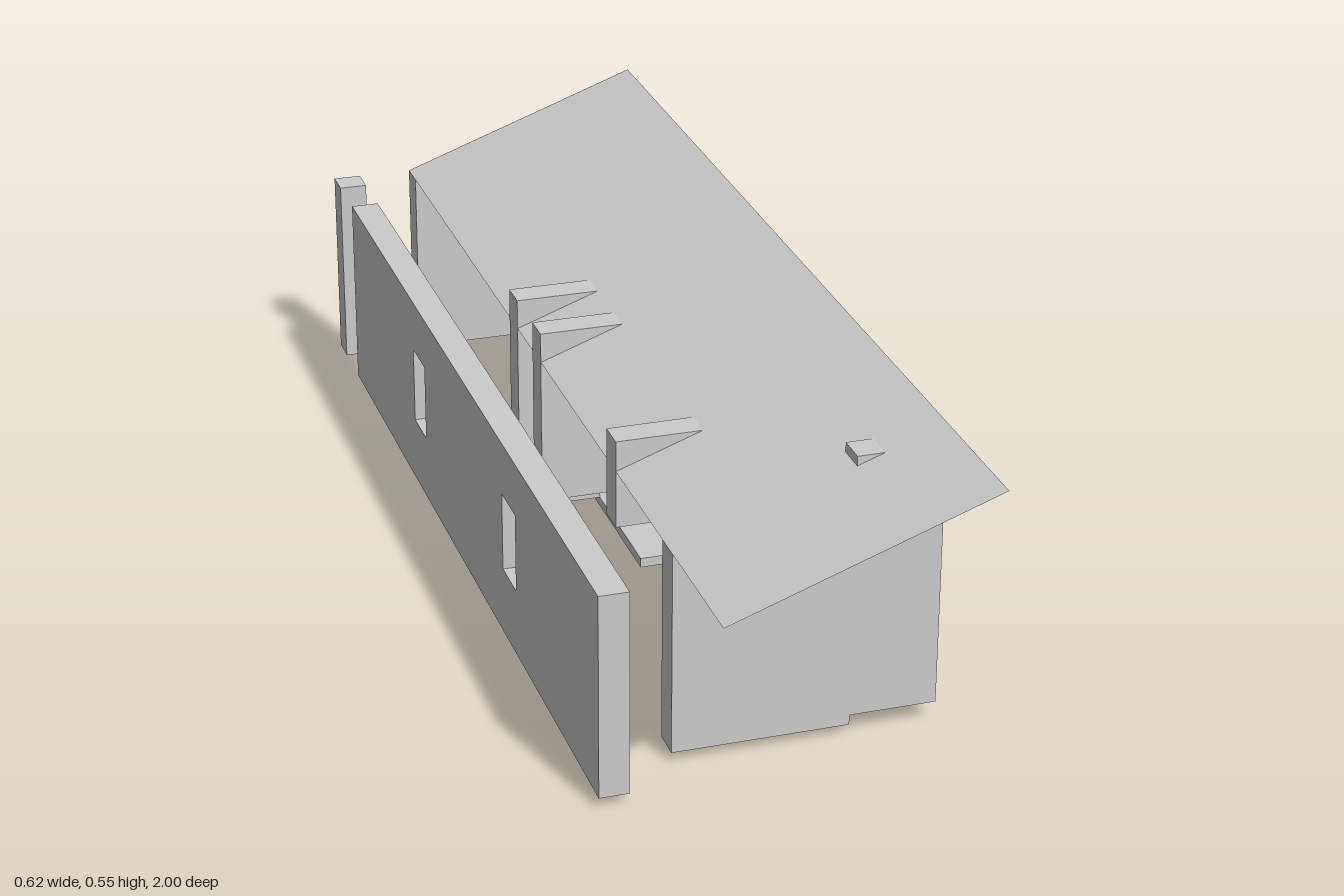
import * as THREE from 'three';

const material = new THREE.MeshStandardMaterial({ color: 0xcccccc, flatShading: true });
const roofMaterial = new THREE.MeshStandardMaterial({ color: 0xcccccc, flatShading: true, side: THREE.DoubleSide });

// Grid lines shared by the plan
const X = { left: -0.155, mid: 0, step: 0.155, right: 0.308 };
const BASE = 0.018, EAVE = 0.385, BEAM = 0.44;

export function createModel() {
  const model = new THREE.Group();

  const add = (name, geometry, mat = material) => {
    const mesh = new THREE.Mesh(geometry, mat);
    mesh.name = name;
    model.add(mesh);
    return mesh;
  };

  // Box from its minimum and maximum along each axis
  const box = (name, [x0, x1], [y0, y1], [z0, z1]) =>
    add(name, new THREE.BoxGeometry(x1 - x0, y1 - y0, z1 - z0))
      .position.set((x0 + x1) / 2, (y0 + y1) / 2, (z0 + z1) / 2);

  const shapeOf = (points) => new THREE.Shape(points.map(([a, b]) => new THREE.Vector2(a, b)));
  const extrude = (shape, depth) => new THREE.ExtrudeGeometry(shape, { depth, bevelEnabled: false });

  // End walls, stepped under the sloping roof
  const endWall = (name, top, rightBase, z) => {
    const shape = shapeOf([
      [X.left, BASE], [X.step, BASE], [X.step, rightBase], [X.right, rightBase], [X.right, top],
      [X.step, top], [X.step, BEAM], [X.mid, BEAM], [X.mid, EAVE], [X.left, EAVE],
    ].filter(([x, y], i, a) => i === 0 || x !== a[i - 1][0] || y !== a[i - 1][1]));
    add(name, extrude(shape, 0.054)).position.z = z;
  };
  endWall('frontWall', 0.514, 0.036, 0.691);
  endWall('backWall', 0.495, BASE, -1);

  // Long side wall with two window openings
  const side = shapeOf([[-0.845, BASE], [0.845, BASE], [0.845, EAVE], [-0.845, EAVE]]);
  for (const z of [-0.313, 0.313]) {
    const hole = new THREE.Path();
    hole.moveTo(z - 0.042, 0.142).lineTo(z - 0.042, 0.287)
      .lineTo(z + 0.042, 0.287).lineTo(z + 0.042, 0.142).closePath();
    side.holes.push(hole);
  }
  const windowWall = add('windowWall', extrude(side, 0.052));
  windowWall.rotation.y = -Math.PI / 2;
  windowWall.position.x = -0.257;

  // Plain long wall and free-standing corner post
  box('innerSideWall', [X.step, 0.206], [BASE, EAVE], [-0.845, 0.691]);
  box('cornerPost', [-0.309, -0.257], [BASE, EAVE], [-1, -0.946]);

  // Short cross walls breaking through the roof
  for (const [z, bottom] of [[0.408, 0.28], [-0.05, 0.108], [-0.205, BASE]]) {
    box('crossWall', [X.left, X.mid], [bottom, BEAM], [z - 0.027, z + 0.027]);
  }

  // L-shaped floor slab
  const slab = shapeOf([
    [X.mid, -0.08], [X.step, -0.08], [X.step, 0.38],
    [X.left, 0.38], [X.left, 0.23], [X.mid, 0.23],
  ]);
  add('floorSlab', extrude(slab, BASE)).rotation.x = -Math.PI / 2;

  // Thin sloping roof sheet
  const rise = 0.552 - EAVE, run = X.right - X.left;
  const sheet = new THREE.PlaneGeometry(Math.hypot(run, rise), 2).rotateX(-Math.PI / 2);
  const roof = add('roof', sheet, roofMaterial);
  roof.rotation.z = Math.atan2(rise, run);
  roof.position.set((X.left + X.right) / 2, EAVE + rise / 2, 0);

  return model;
}
